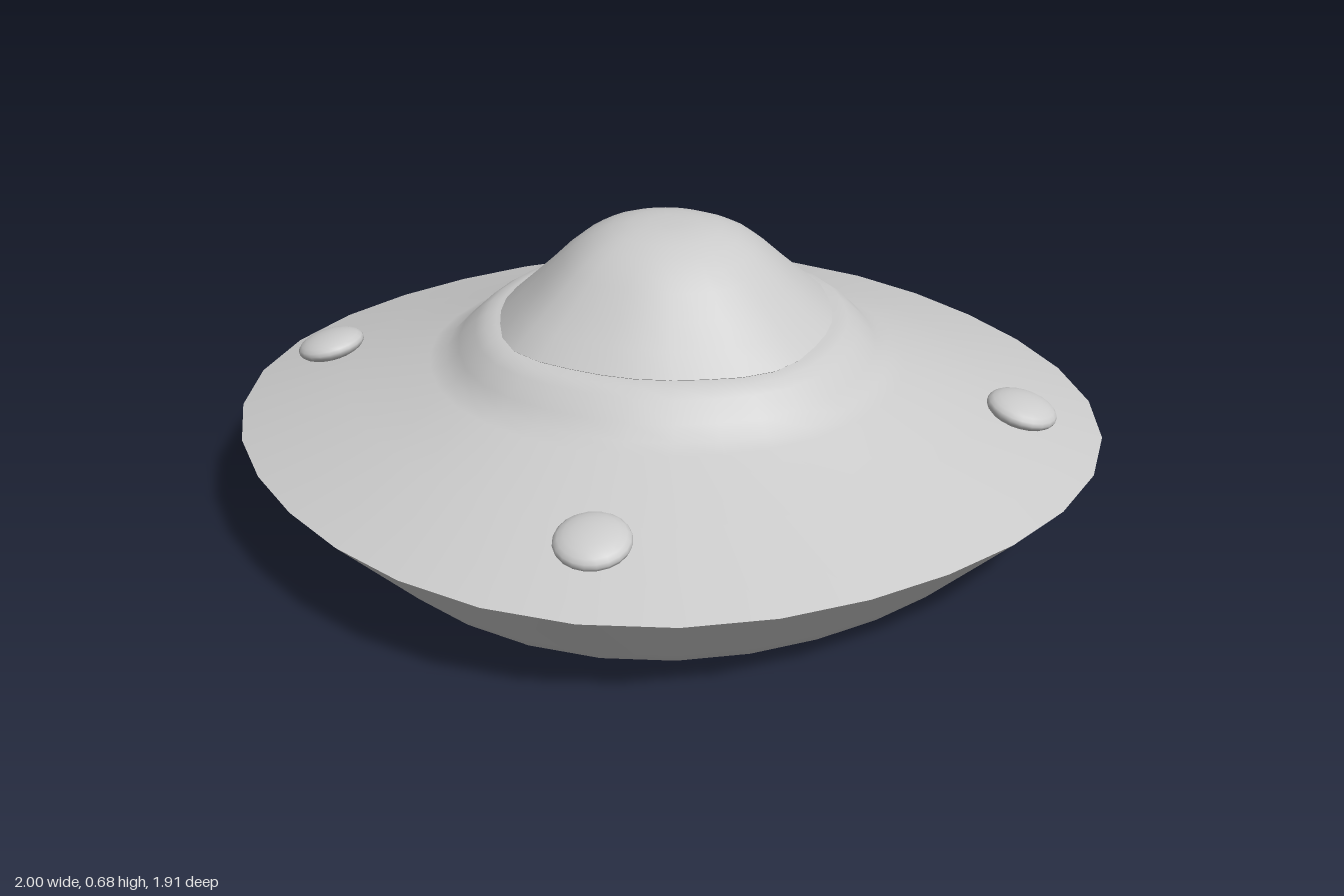
import * as THREE from 'three';
import { mergeVertices, toCreasedNormals } from 'three/addons/utils/BufferGeometryUtils.js';

const material = new THREE.MeshStandardMaterial({ color: 0xcccccc });

// Lathe whose radius swells or shrinks towards the diagonals, then narrows in z
function softLathe(profile, segments, bulge, zScale, crease) {
  const points = profile.map(([r, y]) => new THREE.Vector2(r, y));
  let geometry = new THREE.LatheGeometry(points, segments);
  const pos = geometry.attributes.position;
  for (let i = 0; i < pos.count; i++) {
    const x = pos.getX(i), z = pos.getZ(i);
    const r = Math.hypot(x, z);
    const k = 1 + bulge(r, Math.abs(Math.sin(2 * Math.atan2(z, x))));
    pos.setXYZ(i, x * k, pos.getY(i), z * k * zScale);
  }
  geometry.deleteAttribute('uv');
  geometry.deleteAttribute('normal');
  geometry = mergeVertices(geometry, 1e-4);
  return toCreasedNormals(geometry, crease);
}

function addMesh(parent, name, geometry) {
  const mesh = new THREE.Mesh(geometry, material);
  mesh.name = name;
  parent.add(mesh);
  return mesh;
}

export function createModel() {
  const model = new THREE.Group();
  model.name = 'flyingSaucer';

  // Hull: recessed underside, flared sides, sharp rim, sloping deck and raised collar
  const hullProfile = [
    [0, 0.09], [0.445, 0.09], [0.45, 0.055], [0.47, 0.025], [0.52, 0.006],
    [0.6, 0], [0.7, 0], [0.765, 0.004], [0.79, 0.015], [0.82, 0.045],
    [1, 0.225], [0.75, 0.3], [0.55, 0.358], [0.51, 0.372], [0.48, 0.4],
    [0.44, 0.438], [0.415, 0.454], [0.39, 0.46], [0, 0.46],
  ];
  const hullBulge = (r, s) => {
    const t = THREE.MathUtils.clamp((r - 0.4) / 0.3, 0, 1);
    return THREE.MathUtils.lerp(0.05 * s ** 4, -0.035 * s * s, t);
  };
  addMesh(model, 'hull', softLathe(hullProfile, 32, hullBulge, 0.956, 0.75));

  // Dome: rounded cone with four soft diagonal ridges
  const domeProfile = [
    [0.36, 0.445], [0.38, 0.462], [0.33, 0.508], [0.28, 0.555], [0.235, 0.6],
    [0.2, 0.629], [0.165, 0.65], [0.125, 0.667], [0.08, 0.677], [0.04, 0.68], [0, 0.68],
  ];
  const domeBulge = (r, s) => 0.07 * s ** 5 * Math.min(1, r / 0.3);
  addMesh(model, 'dome', softLathe(domeProfile, 32, domeBulge, 0.985, 0.9));

  // Four flattened lights lying along the slope of the deck
  const lightGeometry = new THREE.SphereGeometry(1, 20, 12).scale(0.08, 0.031, 0.08);
  const lights = new THREE.Group();
  lights.name = 'lights';
  model.add(lights);
  for (const [x, z] of [[-0.825, -0.015], [0.815, 0.045], [-0.02, -0.8], [-0.005, 0.78]]) {
    const light = addMesh(lights, 'light', lightGeometry);
    light.position.set(x, 0.303, z);
    const normal = new THREE.Vector3(x, 0, z).normalize().multiplyScalar(0.22).setY(1).normalize();
    light.quaternion.setFromUnitVectors(new THREE.Vector3(0, 1, 0), normal);
  }

  return model;
}
